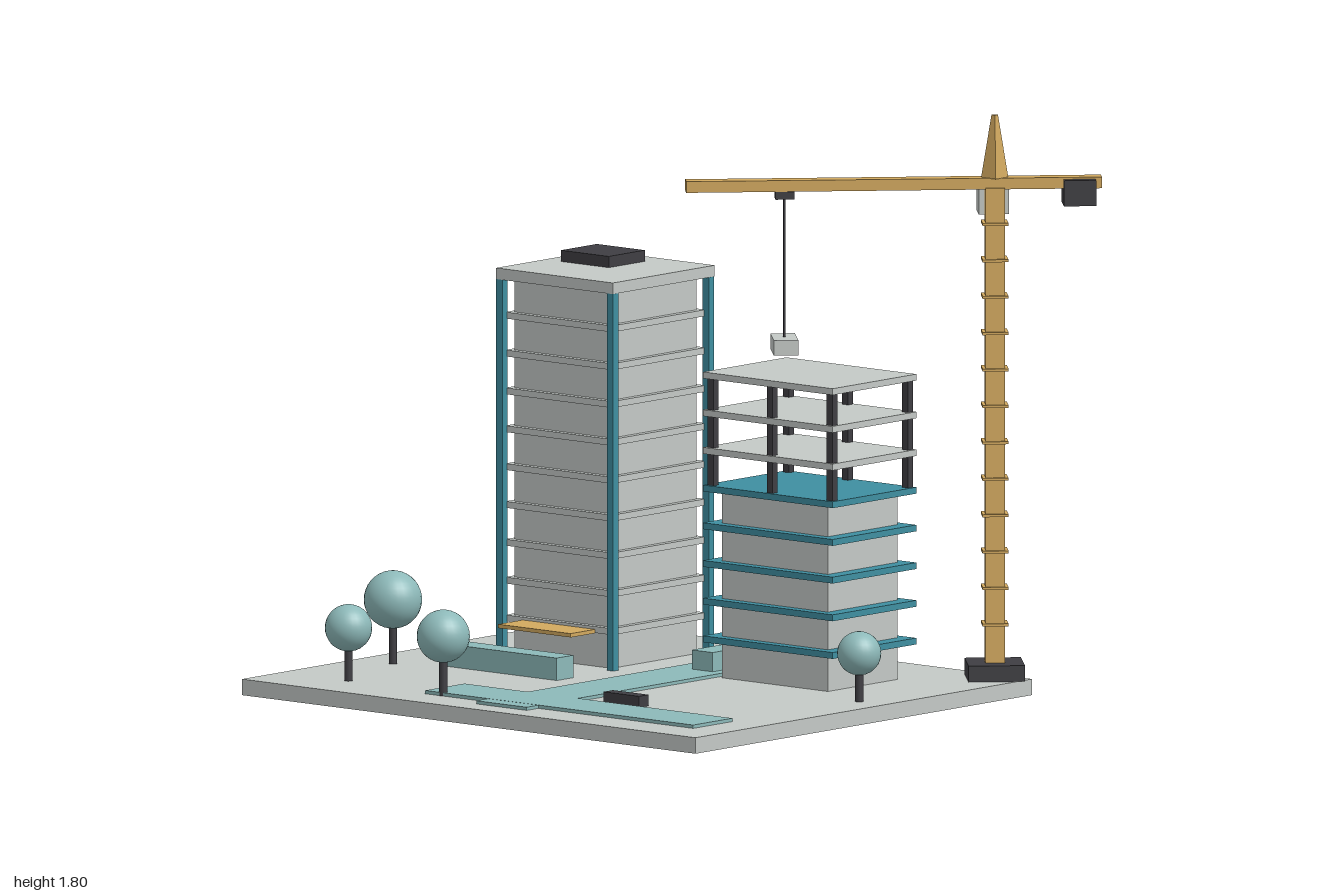
import * as THREE from 'three';

const mat = (name, color) => {
  const m = new THREE.MeshStandardMaterial({ color });
  m.name = name;
  return m;
};

export function createModel() {
  const grey = mat('concrete', 0xc4c9c6);
  const teal = mat('teal', 0x3f8fa1);
  const pale = mat('paleTeal', 0x8db9b9);
  const dark = mat('charcoal', 0x3f3e43);
  const ochre = mat('ochre', 0xd2a95f);

  const group = (parent, name) => {
    const g = new THREE.Group();
    g.name = name;
    parent.add(g);
    return g;
  };
  const add = (parent, name, geometry, material, x, y, z) => {
    const m = new THREE.Mesh(geometry, material);
    m.name = name;
    m.position.set(x, y, z);
    parent.add(m);
    return m;
  };
  // Box given by its limits on each axis
  const box = (parent, name, material, x0, x1, y0, y1, z0, z1) =>
    add(parent, name, new THREE.BoxGeometry(x1 - x0, y1 - y0, z1 - z0), material,
      (x0 + x1) / 2, (y0 + y1) / 2, (z0 + z1) / 2);

  const model = new THREE.Group();
  model.name = 'constructionSite';

  // Ground and landscaping
  const site = group(model, 'site');
  box(site, 'basePlate', grey, -1, 0.845, 0, 0.05, -0.7, 0.89);
  box(site, 'longPath', pale, -0.12, 0.085, 0.05, 0.06, -0.45, 0.805);
  box(site, 'crossPath', pale, -0.375, 0.715, 0.05, 0.0605, 0.565, 0.75);
  box(site, 'frontHedge', pale, -0.705, -0.245, 0.05, 0.12, 0.2, 0.28);
  box(site, 'sideHedge', pale, -0.04, 0.045, 0.05, 0.12, -0.49, -0.12);
  box(site, 'bench', dark, 0.165, 0.31, 0.05, 0.085, 0.49, 0.535);

  // Trees: x, z, crown height, crown radius
  for (const [x, z, y, r] of [
    [-0.9, -0.56, 0.225, 0.077], [0.74, -0.005, 0.2, 0.068], [-0.855, 0.345, 0.25, 0.09],
    [-0.73, 0.7, 0.215, 0.073], [-0.31, 0.74, 0.235, 0.082],
  ]) {
    const tree = group(site, 'tree');
    add(tree, 'trunk', new THREE.CylinderGeometry(0.013, 0.013, y - 0.05, 12), dark, x, (y + 0.05) / 2, z);
    add(tree, 'crown', new THREE.SphereGeometry(r, 28, 18), pale, x, y, z);
  }

  // Finished tower
  const tower = group(model, 'finishedTower');
  box(tower, 'core', grey, -0.675, -0.28, 0.05, 1.225, -0.42, -0.02);
  for (let i = 0; i < 9; i++) {
    const y = 0.168 + i * 0.118;
    box(tower, 'floorSlab', grey, -0.695, -0.26, y - 0.01, y + 0.01, -0.44, 0);
  }
  for (const x of [-0.702, -0.252])
    for (const z of [-0.445, 0.008])
      box(tower, 'cornerColumn', teal, x - 0.013, x + 0.013, 0.05, 1.225, z - 0.012, z + 0.012);
  box(tower, 'roof', grey, -0.715, -0.24, 1.225, 1.26, -0.46, 0.02);
  box(tower, 'roofPlant', dark, -0.65, -0.455, 1.26, 1.295, -0.38, -0.21);
  box(tower, 'canopy', ochre, -0.625, -0.33, 0.157, 0.169, -0.02, 0.115);

  // Unfinished block: clad lower floors, open frame above
  const block = group(model, 'unfinishedBlock');
  box(block, 'core', grey, 0.105, 0.535, 0.05, 0.635, -0.425, -0.095);
  for (let i = 0; i < 8; i++) {
    const y = 0.17 + i * 0.1175;
    box(block, i < 5 ? 'cladSlab' : 'openSlab', i < 5 ? teal : grey,
      0.055, 0.583, y - 0.01, y + 0.01, -0.457, -0.062);
  }
  for (const x of [0.08, 0.32, 0.563])
    for (const z of [-0.438, -0.082])
      box(block, 'frameColumn', dark, x - 0.012, x + 0.012, 0.65, 0.985, z - 0.012, z + 0.012);

  // Tower crane, turned so that its jib (local x) runs diagonally
  const crane = group(model, 'crane');
  crane.position.set(0.74, 0, -0.645);
  crane.rotation.y = Math.PI / 4;
  box(crane, 'footing', dark, -0.087, 0.087, 0.05, 0.1, -0.087, 0.087);
  box(crane, 'mast', ochre, -0.03, 0.03, 0.1, 1.58, -0.03, 0.03);
  for (let i = 0; i < 12; i++) {
    const y = 0.22 + i * 0.1135;
    box(crane, 'mastCollar', ochre, -0.04, 0.04, y - 0.004, y + 0.004, -0.04, 0.04);
  }
  box(crane, 'jib', ochre, -0.955, 0.33, 1.576, 1.611, -0.025, 0.025);
  const apex = new THREE.CylinderGeometry(0.01, 0.042, 0.195, 4).toNonIndexed();
  apex.computeVertexNormals();
  add(crane, 'apex', apex, ochre, 0, 1.7075, 0);
  box(crane, 'counterweight', dark, 0.21, 0.31, 1.525, 1.605, -0.054, 0.054);
  box(crane, 'cab', grey, -0.047, 0.047, 1.49, 1.576, -0.125, -0.03);

  // Trolley, cable and hanging load
  const tx = -0.65;
  box(crane, 'trolley', dark, tx - 0.029, tx + 0.029, 1.552, 1.576, -0.029, 0.029);
  add(crane, 'cable', new THREE.CylinderGeometry(0.004, 0.004, 0.44, 8), dark, tx, 1.335, 0);
  box(crane, 'load', grey, tx - 0.038, tx + 0.038, 1.073, 1.12, -0.073, 0.073);

  return model;
}
